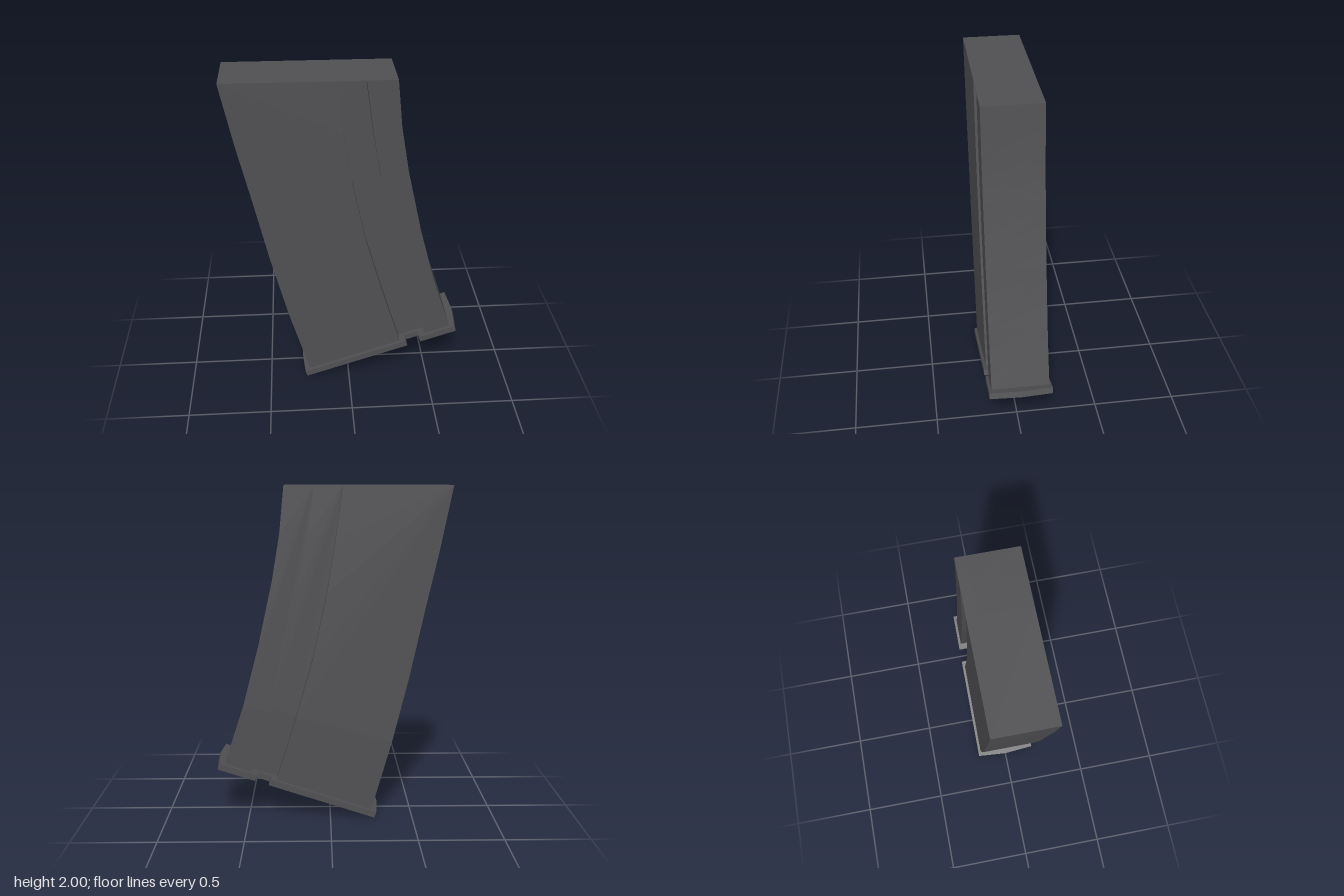
import * as THREE from 'three';
import { toCreasedNormals } from 'three/addons/utils/BufferGeometryUtils.js';

// Curved outlines in the x-y plane, listed from top to bottom
const rearEdge = [[-0.697, 2], [-0.625, 1.63], [-0.555, 1.31], [-0.467, 0.89], [-0.37, 0.485], [-0.25, 0.055]];
const grooveRear = [[-0.07, 2], [-0.03, 1.7], [0.02, 1.385], [0.105, 0.99], [0.205, 0.64], [0.325, 0.25]];
const grooveFront = [[0.095, 2], [0.135, 1.7], [0.183, 1.42], [0.265, 1.04], [0.365, 0.675], [0.48, 0.3]];
const frontEdge = [[0.265, 2], [0.292, 1.73], [0.338, 1.46], [0.425, 1.07], [0.52, 0.71], [0.637, 0.355]];

const BODY_HALF = 0.172;
const GROOVE_HALF = 0.108;

export function createModel() {
  const model = new THREE.Group();
  const metal = new THREE.MeshStandardMaterial({ color: 0x505053 });
  metal.name = 'darkGrey';

  const add = (name, geometry) => {
    const mesh = new THREE.Mesh(geometry, metal);
    mesh.name = name;
    model.add(mesh);
    return mesh;
  };
  const shapeOf = (points) => new THREE.Shape(points.map(([x, y]) => new THREE.Vector2(x, y)));

  // A curved slab between two outlines, centred on z = 0
  const slab = (name, left, right, half) => {
    const shape = shapeOf([...left, ...[...right].reverse()]);
    const geometry = new THREE.ExtrudeGeometry(shape, { depth: half * 2, bevelEnabled: false });
    geometry.translate(0, 0, -half);
    add(name, toCreasedNormals(geometry, 0.5));
  };

  // Curved body, with a recessed channel down both faces
  slab('rearBody', rearEdge, grooveRear, BODY_HALF);
  slab('recessedChannel', grooveRear, grooveFront, GROOVE_HALF);
  slab('frontBody', grooveFront, frontEdge, BODY_HALF);

  // Flat lid that closes the top of the channel
  const lid = new THREE.BoxGeometry(0.962, 0.003, BODY_HALF * 2);
  add('topLid', lid).position.set(-0.216, 1.9985, 0);

  // Tilted base plate with pointed ends and a notch on each side
  const side = [[-0.5, 0.188], [0.178, 0.188], [0.178, 0.125], [0.264, 0.125], [0.264, 0.188], [0.5, 0.188]];
  const mirrored = side.map(([u, z]) => [u, -z]).reverse();
  const plateShape = shapeOf([...side, [0.515, 0], ...mirrored, [-0.515, 0]]);
  const plate = new THREE.ExtrudeGeometry(plateShape, { depth: 0.038, bevelEnabled: false });
  plate.translate(0, 0, -0.019);
  plate.rotateX(-Math.PI / 2);
  const base = add('basePlate', plate);
  base.rotation.z = THREE.MathUtils.degToRad(18.5);
  base.position.set(0.2, 0.182, 0);

  return model;
}
